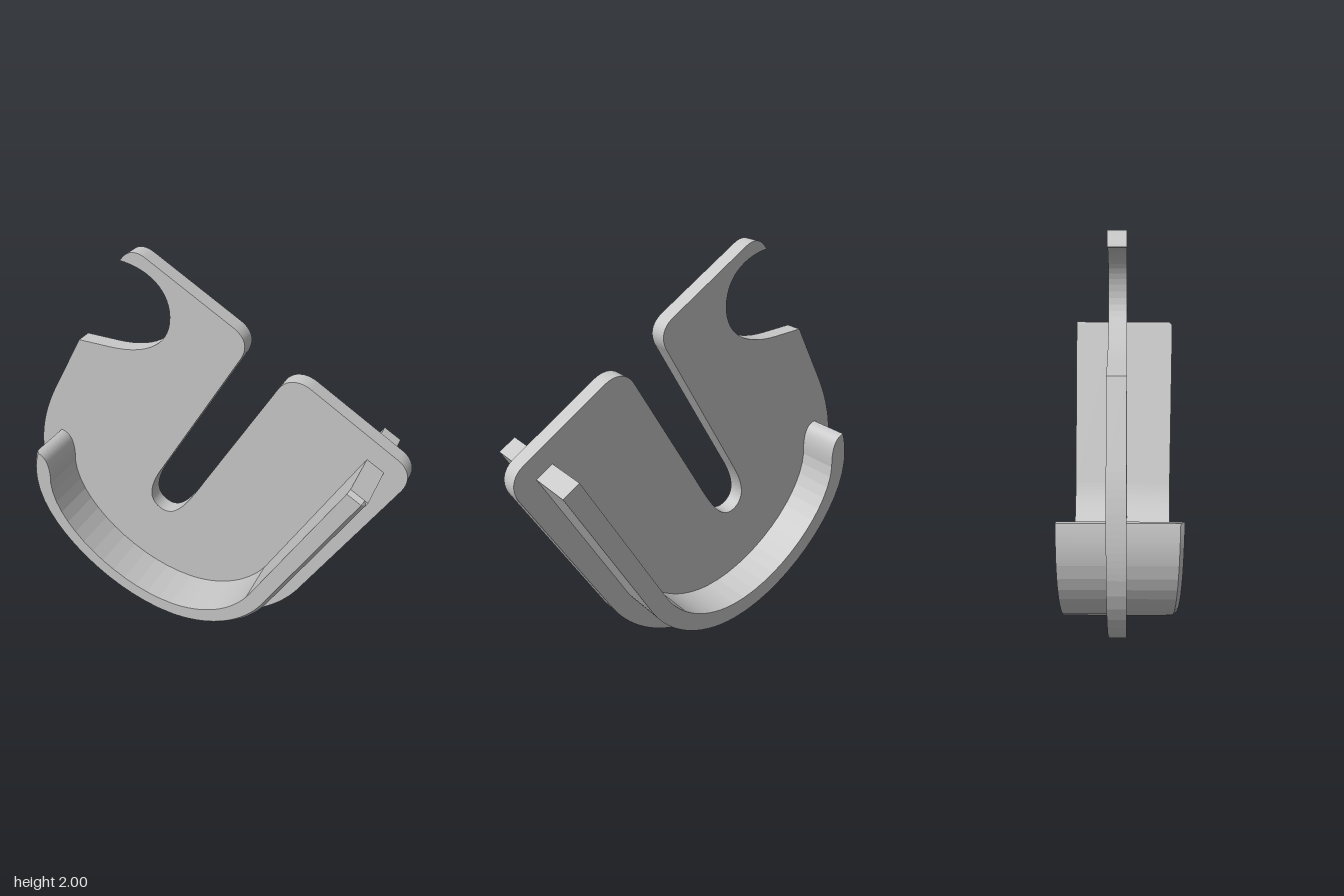
import * as THREE from 'three';

const PLATE_BACK = -0.065, PLATE_FRONT = 0.015, RAIL_BACK = -0.27;
const CX = -0.087, CHAMFER = 0.018;

// Flat J-shaped plate with a slot and a hooked notch
function plateShape() {
  const s = new THREE.Shape();
  s.moveTo(-0.67, 1.512);
  s.lineTo(-0.853, 1.19);
  s.bezierCurveTo(-0.93, 1.05, -0.975, 0.91, -0.975, 0.767);
  s.bezierCurveTo(-0.975, 0.395, -0.513, 0, CX, 0);
  s.absarc(CX, 0.707, 0.707, -Math.PI / 2, -Math.PI / 6, false);
  s.lineTo(0.955, 1.135);
  s.bezierCurveTo(0.99, 1.2, 0.97, 1.26, 0.92, 1.29); // right arm corners
  s.lineTo(0.505, 1.535);
  s.bezierCurveTo(0.45, 1.565, 0.39, 1.555, 0.357, 1.497);
  s.lineTo(0.008, 0.89); // slot
  s.bezierCurveTo(-0.065, 0.76, -0.145, 0.61, -0.22, 0.61);
  s.bezierCurveTo(-0.27, 0.61, -0.307, 0.65, -0.307, 0.7);
  s.bezierCurveTo(-0.307, 0.76, -0.265, 0.84, -0.24, 0.88);
  s.lineTo(0.18, 1.61);
  s.bezierCurveTo(0.21, 1.67, 0.19, 1.715, 0.14, 1.745);
  s.lineTo(-0.28, 1.985); // hook tip
  s.quadraticCurveTo(-0.36, 2.03, -0.412, 1.953);
  s.bezierCurveTo(-0.27, 1.94, -0.17, 1.86, -0.17, 1.735);
  s.bezierCurveTo(-0.17, 1.59, -0.3, 1.512, -0.5, 1.512);
  s.closePath();
  return s;
}

// One edge of the rail: tip, big bend, arc, straight arm; equal point counts for every edge
function railEdge(tip, tipControl, left, bottom, radius, end) {
  const p = new THREE.Path();
  const top = 0.767, k = 0.48;
  p.moveTo(...tip);
  p.quadraticCurveTo(...tipControl, left, top);
  p.bezierCurveTo(left, top - (top - bottom) * k, CX + (left - CX) * k, bottom, CX, bottom);
  p.absarc(CX, bottom + radius, radius, -Math.PI / 2, -Math.PI / 6, false);
  const dx = Math.cos(Math.PI / 3) * CHAMFER, dy = Math.sin(Math.PI / 3) * CHAMFER;
  p.lineTo(end[0] - dx, end[1] - dy);
  p.lineTo(...end);
  return p.getPoints(14);
}

// Front rail: sloping top face, chamfer along the outer edge and at the arm end
function frontRailGeometry(outer, inner) {
  const n = outer.length;
  const sections = outer.map((o, i) => {
    const q = inner[i];
    const drop = i === n - 1 ? CHAMFER : 0;
    const top = p => 0.244 + 0.01 * p.x + 0.0145 * p.y - drop;
    const inset = o.clone().lerp(q, CHAMFER / o.distanceTo(q));
    return [
      [o.x, o.y, PLATE_FRONT],
      [o.x, o.y, top(o) - (drop ? 0 : CHAMFER)],
      [inset.x, inset.y, top(inset)],
      [q.x, q.y, top(q)],
      [q.x, q.y, PLATE_FRONT],
    ];
  });
  const pos = [];
  const tri = (a, b, c) => pos.push(...a, ...b, ...c);
  for (let i = 0; i < n - 1; i++) {
    const A = sections[i], B = sections[i + 1];
    for (let j = 0; j < 5; j++) {
      const k = (j + 1) % 5;
      tri(A[j], B[j], B[k]);
      tri(A[j], B[k], A[k]);
    }
  }
  const first = sections[0], last = sections[n - 1];
  for (let j = 1; j < 4; j++) {
    tri(first[0], first[j], first[j + 1]);
    tri(last[0], last[j + 1], last[j]);
  }
  const g = new THREE.BufferGeometry();
  g.setAttribute('position', new THREE.Float32BufferAttribute(pos, 3));
  g.computeVertexNormals();
  return g;
}

function extrude(shape, z0, z1) {
  const g = new THREE.ExtrudeGeometry(shape, { depth: z1 - z0, bevelEnabled: false, curveSegments: 14 });
  return g.translate(0, 0, z0);
}

export function createModel() {
  const group = new THREE.Group();
  const grey = new THREE.MeshStandardMaterial({ color: 0xc8c8c8, side: THREE.DoubleSide });
  grey.name = 'light grey';
  const add = (name, geometry) => {
    const mesh = new THREE.Mesh(geometry, grey);
    mesh.name = name;
    group.add(mesh);
  };

  const outer = railEdge([-0.84, 0.948], [-0.875, 0.86], -0.875, 0.104, 0.603, [0.868, 1.208]);
  const inner = railEdge([-0.822, 0.943], [-0.755, 0.92], -0.774, 0.2, 0.507, [0.787, 1.254]);

  add('plate', extrude(plateShape(), PLATE_BACK, PLATE_FRONT));
  add('frontRail', frontRailGeometry(outer, inner));
  add('backRail', extrude(new THREE.Shape([...outer, ...inner.slice().reverse()]), RAIL_BACK, PLATE_BACK));
  return group;
}
